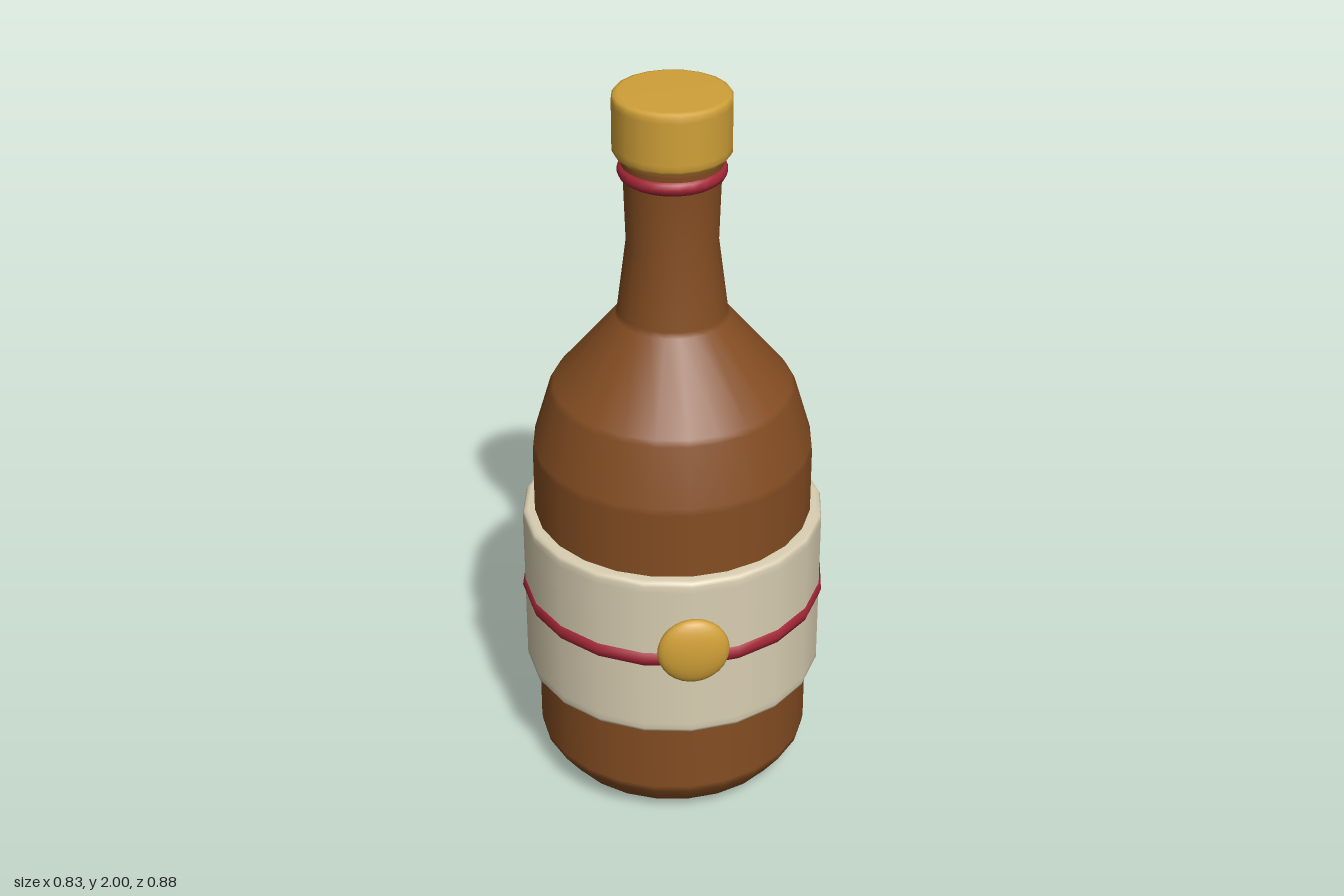
import * as THREE from 'three';

const material = (name, color) => {
  const m = new THREE.MeshStandardMaterial({ color });
  m.name = name;
  return m;
};

export function createModel() {
  const brown = material('brown glass', 0x844d22);
  const gold = material('gold', 0xd0a038);
  const cream = material('cream paper', 0xd9ceb2);
  const red = material('red trim', 0xa62737);

  const model = new THREE.Group();
  model.name = 'bottle';
  // Everything turned shares one axis, set back to make room for the badge
  const turned = new THREE.Group();
  turned.name = 'turnedParts';
  turned.position.z = -0.026;
  model.add(turned);

  const add = (parent, name, geometry, mat) => {
    const mesh = new THREE.Mesh(geometry, mat);
    mesh.name = name;
    parent.add(mesh);
    return mesh;
  };
  const lathe = (name, points, sides, mat) => add(turned, name,
    new THREE.LatheGeometry(points.map(([r, y]) => new THREE.Vector2(r, y)), sides), mat);
  const ring = (name, radius, tube, y, sides, mat) => {
    const mesh = add(turned, name, new THREE.TorusGeometry(radius, tube, 10, sides), mat);
    mesh.rotation.x = Math.PI / 2;
    mesh.position.y = y;
  };

  // Glass body, shoulder, neck and lip
  lathe('bottleBody', [
    [0, 0.005], [0.28, 0.022], [0.3, 0.026], [0.325, 0.043], [0.37, 0.105], [0.373, 0.125],
    [0.373, 1.0], [0.371, 1.02], [0.325, 1.175], [0.315, 1.19], [0.15, 1.39], [0.144, 1.405],
    [0.119, 1.6], [0.125, 1.78], [0.132, 1.825], [0.13, 1.84], [0, 1.85],
  ], 24, brown);

  // Wrapped label with softened rims
  lathe('label', [
    [0.36, 0.333], [0.392, 0.333], [0.402, 0.337], [0.406, 0.347], [0.406, 0.365],
    [0.406, 0.785], [0.406, 0.803], [0.402, 0.812], [0.392, 0.816], [0.36, 0.816],
  ], 20, cream);

  // Red trims
  ring('labelBand', 0.38, 0.033, 0.575, 20, red);
  ring('neckRing', 0.118, 0.022, 1.795, 24, red);

  // Stopper cap
  lathe('cap', [
    [0, 1.838], [0.135, 1.838], [0.146, 1.84], [0.152, 1.85], [0.152, 1.865],
    [0.152, 1.975], [0.152, 1.988], [0.147, 1.997], [0.135, 2], [0, 2],
  ], 20, gold);

  // Oval badge on the front of the label
  const badge = add(model, 'badge', new THREE.SphereGeometry(1, 24, 16), gold);
  badge.scale.set(0.095, 0.097, 0.034);
  badge.position.set(0, 0.622, 0.402);

  return model;
}
